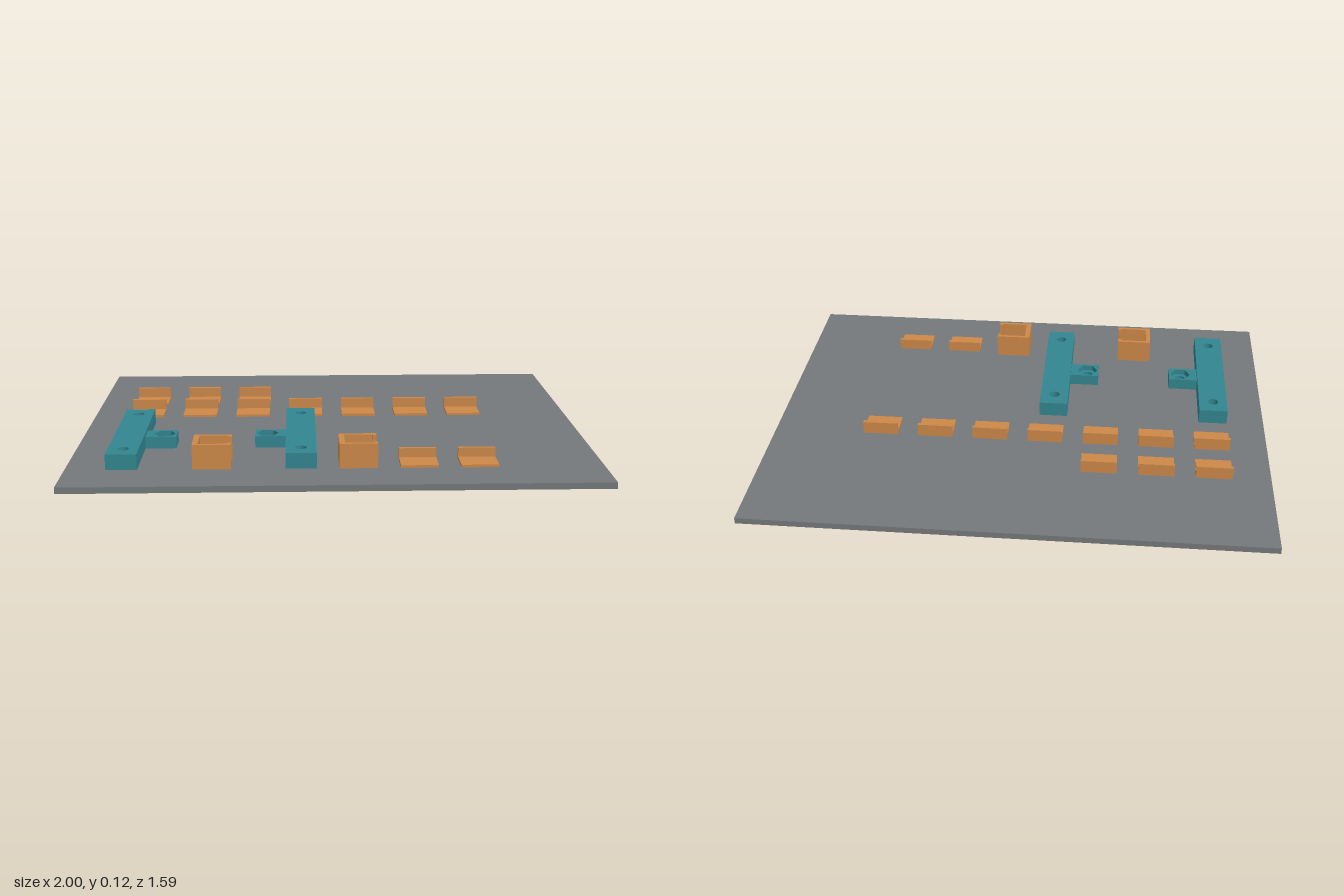
import * as THREE from 'three';

const plateGrey = new THREE.MeshStandardMaterial({ color: 0x75787a });
plateGrey.name = 'plateGrey';
const teal = new THREE.MeshStandardMaterial({ color: 0x32858f });
teal.name = 'teal';
const orange = new THREE.MeshStandardMaterial({ color: 0xcc8848 });
orange.name = 'orange';

const FLOOR = 0.024; // top of the base plate

function box(name, mat, x0, x1, y0, y1, z0, z1) {
  const mesh = new THREE.Mesh(new THREE.BoxGeometry(x1 - x0, y1 - y0, z1 - z0), mat);
  mesh.position.set((x0 + x1) / 2, (y0 + y1) / 2, (z0 + z1) / 2);
  mesh.name = name;
  return mesh;
}

// Rectangular slab in plan with holes [x, z, radius, sides], standing from y0 to y1
function slab(name, mat, x0, x1, z0, z1, y0, y1, holes) {
  const shape = new THREE.Shape([[x0, -z0], [x0, -z1], [x1, -z1], [x1, -z0]].map(p => new THREE.Vector2(...p)));
  for (const [x, z, r, sides] of holes) {
    const pts = [];
    for (let i = 0; i < sides; i++) {
      const a = -i / sides * Math.PI * 2;
      pts.push(new THREE.Vector2(x + r * Math.cos(a), -z + r * Math.sin(a)));
    }
    shape.holes.push(new THREE.Path(pts));
  }
  const geo = new THREE.ExtrudeGeometry(shape, { depth: y1 - y0, bevelEnabled: false });
  geo.rotateX(-Math.PI / 2).translate(0, y0, 0);
  const mesh = new THREE.Mesh(geo, mat);
  mesh.name = name;
  return mesh;
}

// Long drilled bar with a side tab holding a hexagonal nut pocket; side = direction of the tab
function makeBar(cx, side) {
  const g = new THREE.Group();
  g.name = 'mountingBar';
  g.add(slab('bar', teal, -0.058, 0.058, 0, 0.61, FLOOR, 0.084,
    [[0, 0.07, 0.021, 32], [0, 0.54, 0.021, 32]]));
  const xa = side > 0 ? 0.058 : -0.178;
  const hx = side * 0.13;
  g.add(slab('tabBase', teal, xa, xa + 0.12, 0.258, 0.35, FLOOR, 0.048, [[hx, 0.304, 0.022, 32]]));
  g.add(slab('nutPocket', teal, xa, xa + 0.12, 0.258, 0.35, 0.048, 0.07, [[hx, 0.304, 0.042, 6]]));
  g.position.x = cx;
  return g;
}

// Small L bracket lying on its base with the upright at the back
function makeBracket(x, z, top) {
  const g = new THREE.Group();
  g.name = 'angleBracket';
  g.add(box('bracketBase', orange, 0, 0.141, FLOOR, 0.034, 0.014, 0.112));
  g.add(box('bracketUpright', orange, 0, 0.141, FLOOR, top, 0, 0.014));
  g.position.set(x, 0, z);
  return g;
}

// C-shaped clip, open towards +x, with inward lips and a round recess in its inner wall
function makeClip(x) {
  const g = new THREE.Group();
  g.name = 'clip';
  const [x1, z0, z1, top, t] = [0.143, 0.482, 0.613, 0.119, 0.014];
  g.add(box('clipBack', orange, 0, t, FLOOR, top, z0, z1));
  g.add(box('clipRearWall', orange, t, x1, FLOOR, top, z0, z0 + t));
  g.add(box('clipFrontWall', orange, t, x1, FLOOR, top, z1 - t, z1));
  g.add(box('rearLip', orange, x1 - 0.014, x1, FLOOR, top, z0 + t, z0 + 0.025));
  g.add(box('frontLip', orange, x1 - 0.014, x1, FLOOR, top, z1 - 0.025, z1 - t));
  // inner wall layer: slab turned on its side so the hole faces +x
  const inner = slab('recessedWall', orange, FLOOR, top, z0 + t, z1 - t, 0, 0.007,
    [[0.071, 0.548, 0.022, 32]]);
  inner.geometry.applyMatrix4(new THREE.Matrix4().makeBasis(
    new THREE.Vector3(0, 1, 0), new THREE.Vector3(1, 0, 0), new THREE.Vector3(0, 0, 1)));
  // the axis swap mirrors the slab, so restore the winding and normals
  const pos = inner.geometry.attributes.position;
  const a = new THREE.Vector3(), b = new THREE.Vector3();
  for (let i = 0; i < pos.count; i += 3) {
    a.fromBufferAttribute(pos, i);
    b.fromBufferAttribute(pos, i + 1);
    pos.setXYZ(i, b.x, b.y, b.z);
    pos.setXYZ(i + 1, a.x, a.y, a.z);
  }
  inner.geometry.computeVertexNormals();
  inner.position.x = t;
  g.add(inner);
  g.position.x = x;
  return g;
}

export function createModel() {
  const model = new THREE.Group();
  model.name = 'partsPlate';
  model.add(box('basePlate', plateGrey, -1, 1, 0, FLOOR, -0.797, 0.797));

  model.add(makeBar(-0.791, 1), makeBar(-0.129, -1));
  model.add(makeClip(-0.53), makeClip(0.012));

  // bracket rows
  const pitch = 0.224;
  for (let i = 0; i < 3; i++) model.add(makeBracket(-0.85 + i * pitch, -0.392, 0.075));
  for (let i = 0; i < 7; i++) model.add(makeBracket(-0.85 + i * pitch, -0.196, 0.075));
  for (let i = 0; i < 2; i++) model.add(makeBracket(0.24 + i * pitch, 0.502, 0.069));
  return model;
}
